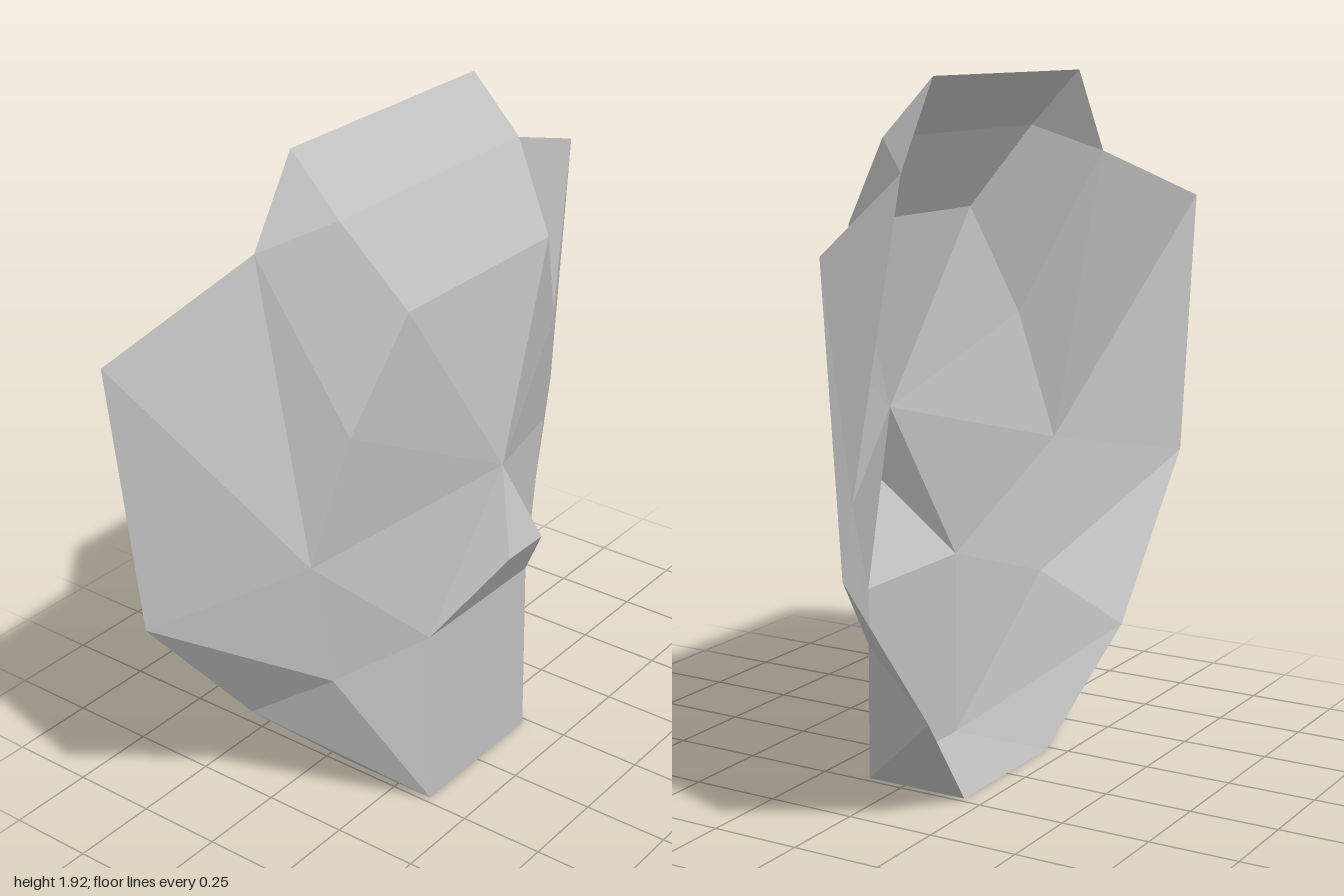
import * as THREE from 'three';

// Corner points on the model's left half (+x); lower-case letters mean the mirrored corner.
const corners = {
  A: [0.385, 1.925, -0.19], B: [0.385, 1.77, -0.04], C: [0.31, 1.54, 0.115], // crown to brow
  D: [0.535, 1.695, -0.19], E: [0.46, 1.225, 0.04], F: [0.535, 0.85, -0.04], // temple
  G: [1, 1.54, -0.27], H: [0.92, 0.77, -0.27],                               // outer ear
  I: [0.46, 0.46, -0.04], J: [0.54, 0.31, -0.27],                            // jaw
  K: [0.23, 0.54, 0.115], L: [0.23, 0, 0.115], M: [0.23, 0, -0.19],          // muzzle
  N: [0, 1, 0.19], P: [0.077, 0.77, 0.27],                                   // nose
};

// Each part has faces crossing the centre line and faces repeated on both sides.
const parts = {
  forehead: { centre: ['AabB', 'BbcC', 'CcN'], sides: [] },
  temples: { centre: [], sides: ['ABD', 'BCD', 'CED', 'EFD'] },
  cheeks: { centre: [], sides: ['CNE', 'ENF', 'NKF', 'FKI', 'FIH'] },
  ears: { centre: [], sides: ['DFG', 'GFH'] },
  nose: { centre: ['NpP', 'PpkK'], sides: ['NPK'] },
  jaw: { centre: [], sides: ['HIJ', 'IKL', 'ILJ', 'JLM'] },
  chin: { centre: ['KklL', 'LlmM'], sides: [] },
};

function point(letter) {
  const [x, y, z] = corners[letter.toUpperCase()];
  return letter === letter.toUpperCase() ? [x, y, z] : [-x, y, z];
}

// Swap sides and reverse the order so the mirrored face still points outward.
const mirror = (face) =>
  [...face].reverse().map((c) => (c === c.toUpperCase() ? c.toLowerCase() : c.toUpperCase())).join('');

function facetGeometry(faces) {
  const positions = [];
  for (const face of faces) {
    for (let i = 1; i < face.length - 1; i++) {
      positions.push(...point(face[0]), ...point(face[i]), ...point(face[i + 1]));
    }
  }
  const geometry = new THREE.BufferGeometry();
  geometry.setAttribute('position', new THREE.Float32BufferAttribute(positions, 3));
  geometry.computeVertexNormals();
  return geometry;
}

export function createModel() {
  const group = new THREE.Group();
  group.name = 'mask';
  const grey = new THREE.MeshStandardMaterial({ color: 0xc0c0c0, flatShading: true, side: THREE.DoubleSide });
  grey.name = 'grey';

  for (const [name, { centre, sides }] of Object.entries(parts)) {
    const mesh = new THREE.Mesh(facetGeometry([...centre, ...sides, ...sides.map(mirror)]), grey);
    mesh.name = name;
    group.add(mesh);
  }
  return group;
}
